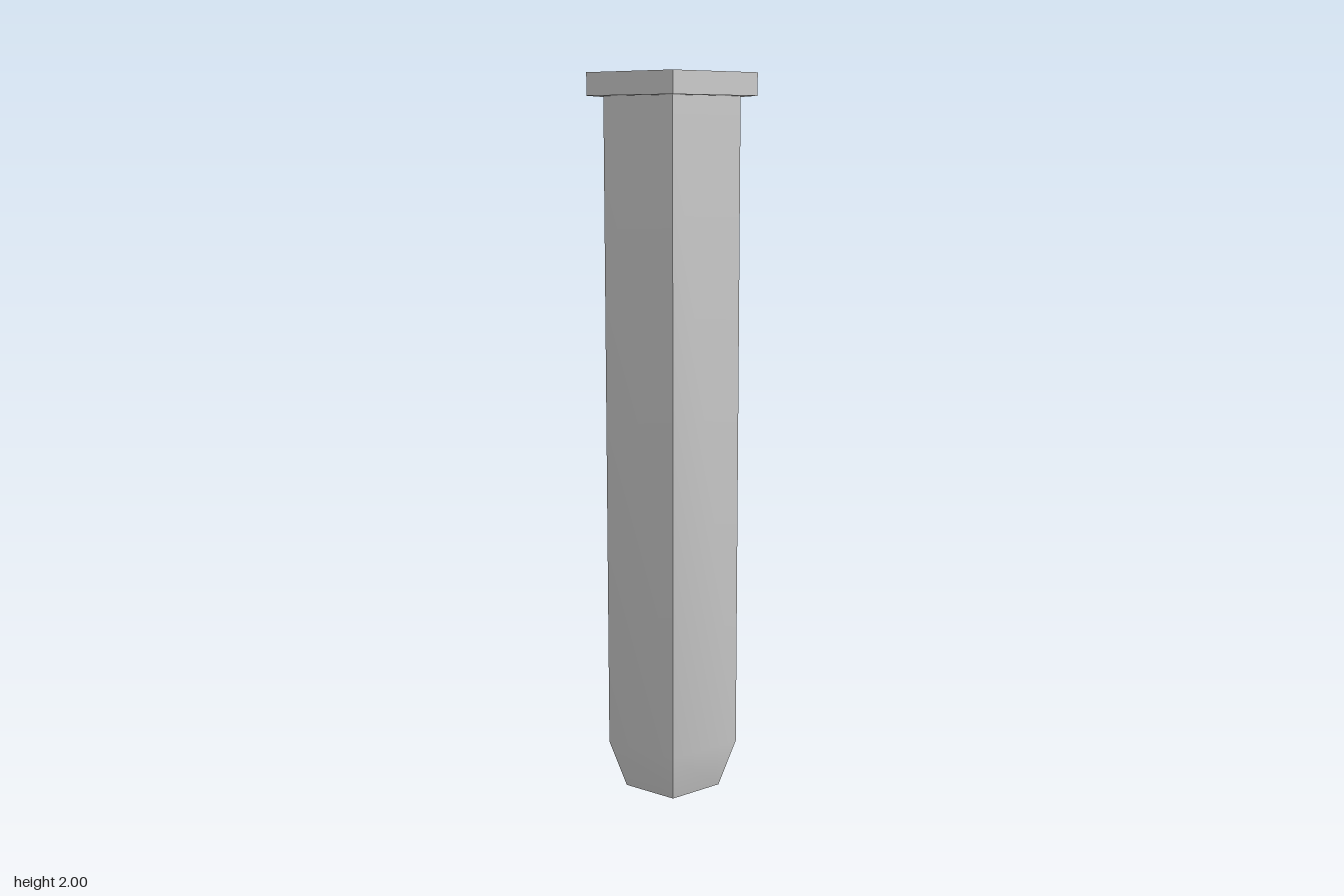
import * as THREE from 'three';
import { toCreasedNormals } from 'three/addons/utils/BufferGeometryUtils.js';

const SIDES = 5;
const TUBE_R = 0.19, FLANGE_R = 0.236, TIP_R = 0.139;

// Five-sided lathe of [radius, height] points, one corner pointing to +x
function pentagonLathe(name, profile, side = THREE.FrontSide) {
  const points = profile.map(([r, y]) => new THREE.Vector2(r, y));
  const geometry = toCreasedNormals(
    new THREE.LatheGeometry(points, SIDES, Math.PI / 2), Math.PI / 6);
  const mesh = new THREE.Mesh(geometry,
    new THREE.MeshStandardMaterial({ color: 0xcccccc, side }));
  mesh.name = name;
  return mesh;
}

export function createModel() {
  const group = new THREE.Group();
  group.name = 'pentagonalTube';

  // Thin-walled tube: dented floor, tapered tip, straight open shaft
  const tube = pentagonLathe('tubeShell', [
    [0, 0.03], [0.044, 0.03], [TIP_R, 0], [TUBE_R, 0.14], [TUBE_R, 1.94],
  ], THREE.DoubleSide);

  // Solid flange ring around the mouth
  const flange = pentagonLathe('rimFlange', [
    [TUBE_R, 1.94], [FLANGE_R, 1.94], [FLANGE_R, 2], [TUBE_R, 2], [TUBE_R, 1.94],
  ]);

  // A pentagon is uneven along x, so shift it to centre its bounds
  const shift = -FLANGE_R * (1 - Math.cos(Math.PI / SIDES)) / 2;
  for (const part of [tube, flange]) {
    part.position.x = shift;
    group.add(part);
  }
  return group;
}
